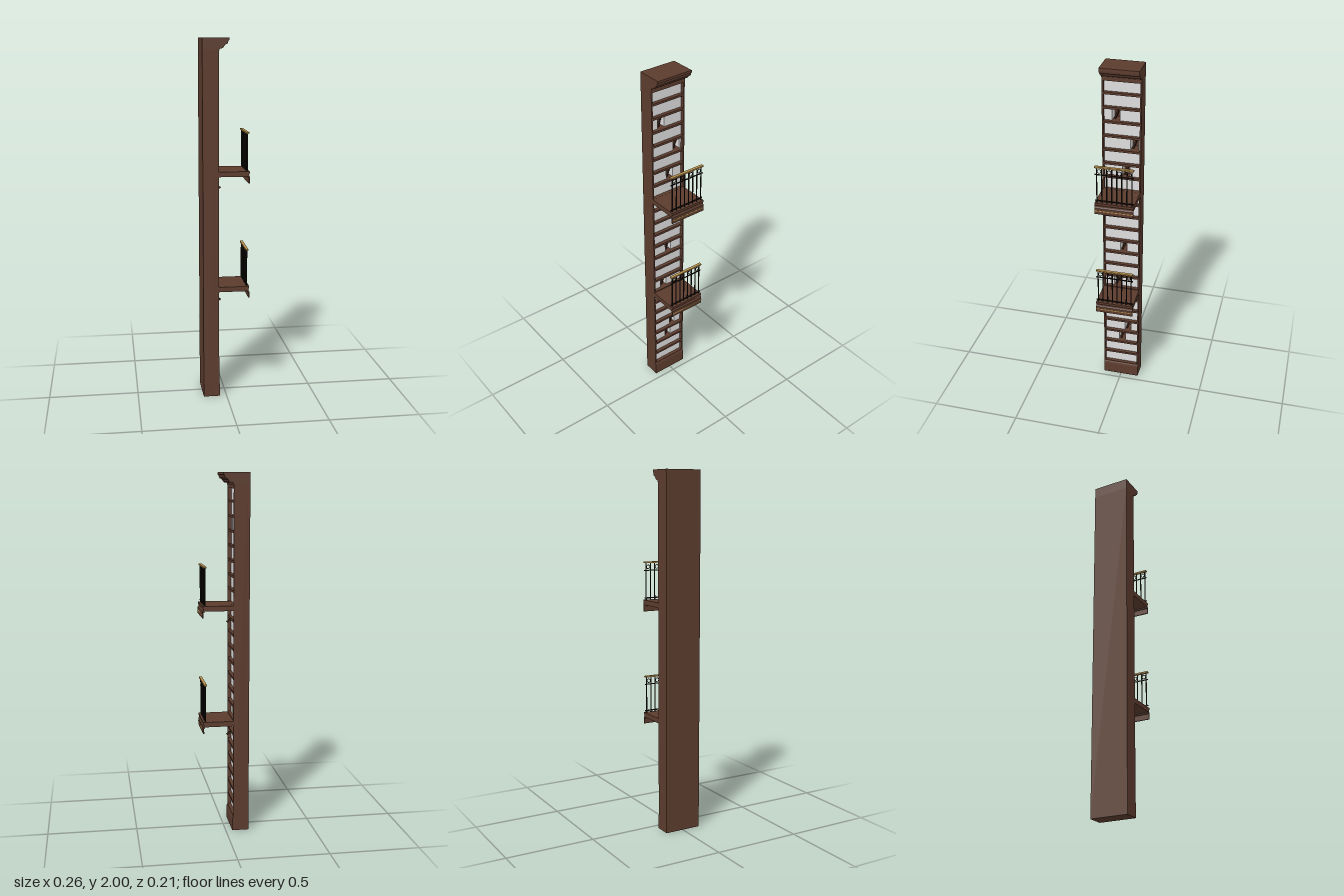
import * as THREE from 'three';

const mat = (name, color) => {
  const m = new THREE.MeshStandardMaterial({ color });
  m.name = name;
  return m;
};

export function createModel() {
  const wood = mat('walnut wood', 0x5c3c2e);
  const dark = mat('dark wood', 0x3a251c);
  const iron = mat('black iron', 0x17140f);
  const brass = mat('brass', 0xb8924e);
  const paper = mat('book fronts', 0xdddddd);

  const model = new THREE.Group();
  model.name = 'tallBookcase';
  const W = 0.106;       // half width along z
  const BACK = -0.13, FACE = -0.042, BOOK = -0.062, REAR = -0.118;

  // Box given by its limits on each axis
  const box = (parent, name, m, x0, x1, y0, y1, z0, z1) => {
    const mesh = new THREE.Mesh(new THREE.BoxGeometry(x1 - x0, y1 - y0, z1 - z0), m);
    mesh.position.set((x0 + x1) / 2, (y0 + y1) / 2, (z0 + z1) / 2);
    mesh.name = name;
    parent.add(mesh);
    return mesh;
  };
  // Moulding: profile in x, y run along the full width
  const moulding = (parent, name, m, shape) => {
    const geo = new THREE.ExtrudeGeometry(shape, { depth: 2 * W, bevelEnabled: false, curveSegments: 8 });
    const mesh = new THREE.Mesh(geo.translate(0, 0, -W), m);
    mesh.name = name;
    parent.add(mesh);
    return mesh;
  };

  // Carcass
  box(model, 'backPanel', wood, BACK, REAR, 0, 1.94, -W, W);
  for (const s of [-1, 1]) {
    box(model, 'sidePanel', wood, REAR, FACE, 0, 1.94, s > 0 ? W - 0.008 : -W, s > 0 ? W : -W + 0.008);
  }

  // Plinth
  const plinth = new THREE.Shape();
  plinth.moveTo(REAR, 0);
  plinth.lineTo(-0.037, 0);
  plinth.lineTo(-0.037, 0.062);
  plinth.quadraticCurveTo(-0.038, 0.074, FACE, 0.08);
  plinth.lineTo(REAR, 0.08);
  moulding(model, 'plinth', wood, plinth);

  // Crown cornice
  const crown = new THREE.Shape();
  crown.moveTo(BACK, 1.934);
  crown.lineTo(-0.04, 1.934);
  crown.lineTo(-0.037, 1.944);
  crown.quadraticCurveTo(-0.018, 1.944, -0.013, 1.957);
  crown.quadraticCurveTo(-0.009, 1.966, 0.002, 1.968);
  crown.quadraticCurveTo(0.008, 1.974, 0.008, 1.985);
  crown.lineTo(0.013, 1.987);
  crown.lineTo(0.013, 2);
  crown.lineTo(BACK, 2);
  moulding(model, 'crownCornice', wood, crown);

  // Shelves and rows of books, some rows with a gap [z from, z to]
  const PITCH = 0.0803, BASE = 0.08, T = 0.012, ROWS = 23;
  const gaps = {
    2: [-0.022, 0.017], 3: [-0.055, -0.02], 7: [0.005, 0.045], 10: [-0.028, 0.01],
    16: [-0.042, 0], 18: [-0.087, -0.045], 20: [0.012, 0.055],
  };
  const inner = W - 0.008;
  for (let i = 0; i < ROWS; i++) {
    const y = BASE + i * PITCH;
    box(model, 'shelf', wood, REAR, FACE, y - T / 2, y + T / 2, -inner, inner);
    const y0 = y + T / 2, y1 = y + PITCH - T / 2, gap = gaps[i];
    if (!gap) {
      box(model, 'bookRow', paper, REAR, BOOK, y0, y1, -inner, inner);
      continue;
    }
    box(model, 'bookRow', paper, REAR, BOOK, y0, y1, -inner, gap[0]);
    box(model, 'bookRow', paper, REAR, BOOK, y0, y1, gap[1], inner);
    const c = (gap[0] + gap[1]) / 2;
    const book = box(model, 'leaningBook', dark, REAR, BOOK - 0.008, y0 + 0.004, y1 - 0.008, c - 0.004, c + 0.004);
    book.rotation.x = -0.3;
  }
  box(model, 'topShelf', wood, REAR, FACE, BASE + ROWS * PITCH - 0.012, 1.936, -inner, inner);

  // Balcony with railing; y is the walking surface
  const balcony = (y) => {
    const g = new THREE.Group();
    g.name = 'balcony';
    g.position.y = y;
    model.add(g);
    box(g, 'balconyFloor', wood, FACE - 0.01, 0.119, -0.028, 0, -W, W);

    const fascia = new THREE.Shape();
    fascia.moveTo(0.118, 0);
    fascia.lineTo(0.118, -0.034);
    fascia.lineTo(0.122, -0.036);
    fascia.lineTo(0.122, -0.066);
    fascia.lineTo(0.128, -0.066);
    fascia.lineTo(0.128, -0.03);
    fascia.quadraticCurveTo(0.123, -0.026, 0.123, -0.016);
    fascia.lineTo(0.127, -0.01);
    fascia.lineTo(0.127, 0);
    moulding(g, 'balconyFascia', wood, fascia);
    box(g, 'fasciaStripe', brass, 0.1275, 0.129, -0.049, -0.044, -W, W);

    // Rails
    box(g, 'handrail', brass, 0.106, 0.122, 0.205, 0.213, -W, W);
    box(g, 'lowerRail', iron, 0.111, 0.116, 0.008, 0.014, -W, W);
    box(g, 'upperRail', iron, 0.111, 0.116, 0.162, 0.167, -W, W);

    // Each bay is a ring between two balusters
    for (let i = 0; i < 4; i++) {
      const z = (i - 1.5) * 0.0545;
      for (const s of [-1, 1]) {
        const bar = new THREE.Mesh(new THREE.CylinderGeometry(0.0033, 0.0033, 0.206, 8), iron);
        bar.position.set(0.1135, 0.103, z + s * 0.0137);
        bar.name = 'baluster';
        g.add(bar);
      }
      const ring = new THREE.Mesh(new THREE.TorusGeometry(0.0105, 0.002, 6, 20), iron);
      ring.rotation.y = Math.PI / 2;
      ring.position.set(0.1135, 0.184, z);
      ring.name = 'railingRing';
      g.add(ring);
    }

    // Small tilted peg below the balcony
    const peg = box(g, 'shelfPeg', dark, -0.05, -0.018, -0.1, -0.09, -0.005, 0.005);
    peg.rotation.z = -0.65;
  };
  balcony(0.643);
  balcony(1.29);

  return model;
}
